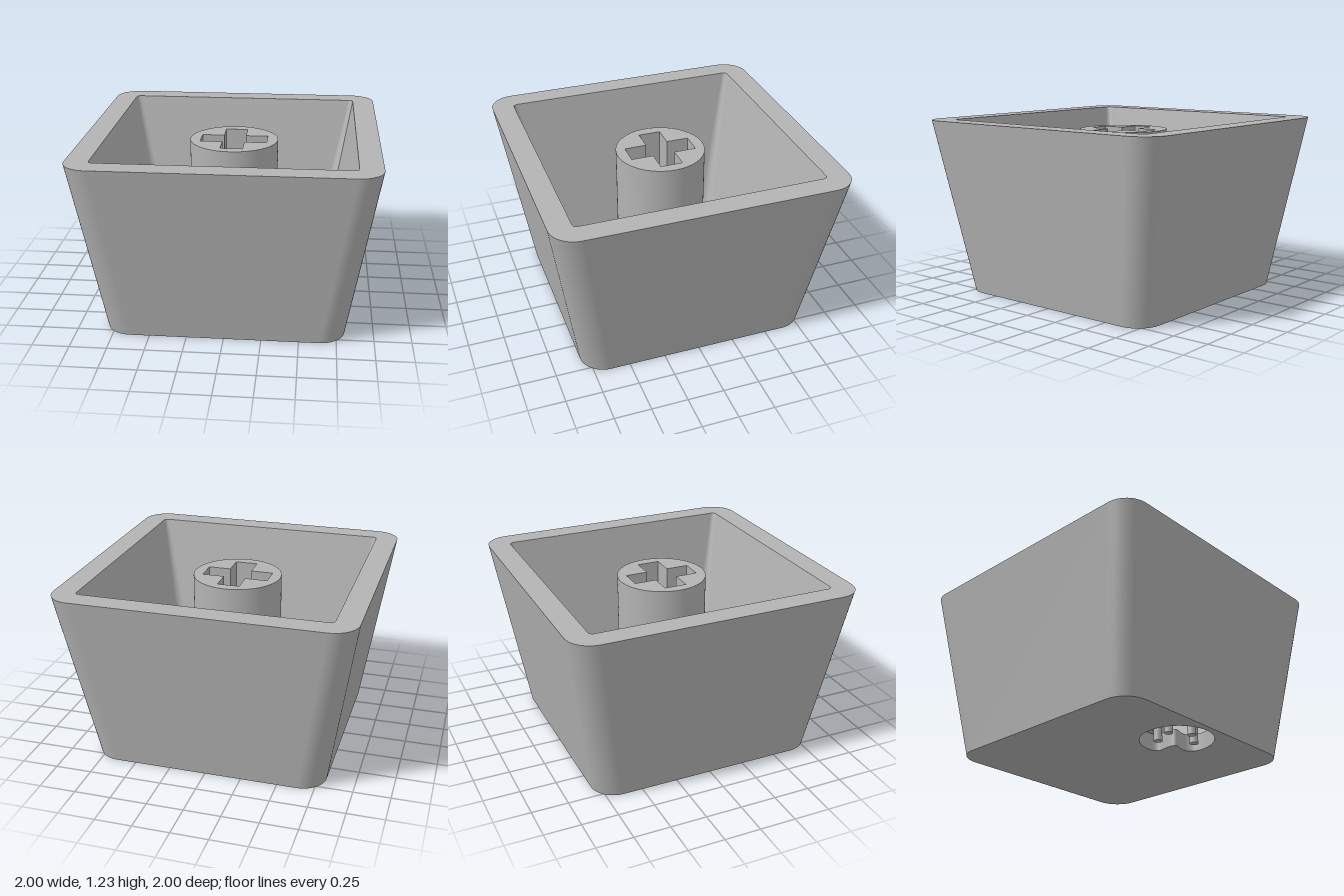
import * as THREE from 'three';
import { toCreasedNormals } from 'three/addons/utils/BufferGeometryUtils.js';

const HEIGHT = 1.225, FLOOR = 0.12, STEM_TOP = 1.15;
const CORNER_STEPS = 14;

// Rounded square outline, counter-clockwise
function roundedSquare(half, radius) {
  const points = [];
  for (let corner = 0; corner < 4; corner++) {
    const mid = Math.PI / 4 + corner * Math.PI / 2;
    const cx = Math.sign(Math.cos(mid)) * (half - radius);
    const cy = Math.sign(Math.sin(mid)) * (half - radius);
    for (let i = 0; i <= CORNER_STEPS; i++) {
      const a = (corner + i / CORNER_STEPS) * Math.PI / 2;
      points.push(new THREE.Vector2(cx + radius * Math.cos(a), cy + radius * Math.sin(a)));
    }
  }
  return points;
}

// Smooth wall between two outlines at heights y0 and y1
function loft(lower, y0, upper, y1, inward) {
  const n = lower.length, positions = [], index = [];
  for (const [ring, y] of [[lower, y0], [upper, y1]]) {
    for (const p of ring) positions.push(p.x, y, -p.y);
  }
  for (let i = 0; i < n; i++) {
    const j = (i + 1) % n;
    if (inward) index.push(i, n + j, j, i, n + i, n + j);
    else index.push(i, j, n + j, i, n + j, n + i);
  }
  const geometry = new THREE.BufferGeometry();
  geometry.setAttribute('position', new THREE.Float32BufferAttribute(positions, 3));
  geometry.setIndex(index);
  geometry.computeVertexNormals();
  return geometry;
}

// Flat ring between two outlines, facing up or down
function flatRing(outer, inner, y, facing) {
  const shape = new THREE.Shape(outer);
  shape.holes.push(new THREE.Path(inner));
  return new THREE.ShapeGeometry(shape).rotateX(-facing * Math.PI / 2).translate(0, y, 0);
}

// Painter's palette outline in x and z
function paletteHole() {
  const cz = 0.51, r = 0.25;
  const path = new THREE.Path();
  path.moveTo(r, cz);
  path.absarc(0, cz, r, 0, Math.PI * 1.5, false);
  path.bezierCurveTo(0.04, 0.26, 0.075, 0.27, 0.07, 0.32);
  path.bezierCurveTo(0.065, 0.36, 0.06, 0.37, 0.06, 0.40);
  path.bezierCurveTo(0.06, 0.44, 0.075, 0.45, 0.11, 0.435);
  path.bezierCurveTo(0.18, 0.405, 0.25, 0.42, r, cz);
  return path;
}

export function createModel() {
  const group = new THREE.Group();
  const grey = new THREE.MeshStandardMaterial({ color: 0xb3b3b3 });
  grey.name = 'grey plastic';

  const add = (name, geometry) => {
    const mesh = new THREE.Mesh(geometry, grey);
    mesh.name = name;
    group.add(mesh);
    return mesh;
  };

  // Tapered shell
  const outerBase = roundedSquare(0.805, 0.17);
  const outerRim = roundedSquare(1, 0.17);
  const innerBase = roundedSquare(0.648, 0.08);
  const innerRim = roundedSquare(0.845, 0.03);
  add('outerWall', loft(outerBase, 0, outerRim, HEIGHT, false));
  add('innerWall', loft(innerBase, FLOOR, innerRim, HEIGHT, true));
  add('rim', flatRing(outerRim, innerRim, HEIGHT, 1));
  add('wallUnderside', flatRing(outerBase, innerBase, FLOOR, -1));

  // Floor plate with the palette-shaped opening
  const floorShape = new THREE.Shape(outerBase);
  floorShape.holes.push(paletteHole());
  const floor = new THREE.ExtrudeGeometry(floorShape, {
    depth: FLOOR, bevelEnabled: false, curveSegments: 28,
  }).rotateX(Math.PI / 2).translate(0, FLOOR, 0);
  add('floor', toCreasedNormals(floor, 0.6));

  // Four free-standing pins in the opening
  for (const [x, z] of [[-0.07, 0.405], [-0.13, 0.55], [0.13, 0.55], [0, 0.638]]) {
    const pin = add('palettePin', new THREE.CylinderGeometry(0.029, 0.029, FLOOR, 24));
    pin.position.set(x, FLOOR / 2, z);
  }

  // Central stem with a cross-shaped socket
  const stemShape = new THREE.Shape();
  stemShape.absarc(0, 0, 0.308, 0, Math.PI * 2, false);
  const a = 0.077, b = 0.232;
  stemShape.holes.push(new THREE.Path([
    [a, a], [a, b], [-a, b], [-a, a], [-b, a], [-b, -a],
    [-a, -a], [-a, -b], [a, -b], [a, -a], [b, -a], [b, a],
  ].map(([x, y]) => new THREE.Vector2(x, y))));
  const stem = new THREE.ExtrudeGeometry(stemShape, {
    depth: STEM_TOP - FLOOR, bevelEnabled: false, curveSegments: 48,
  }).rotateX(-Math.PI / 2).translate(0, FLOOR, 0);
  add('stem', toCreasedNormals(stem, 0.6));

  return group;
}
